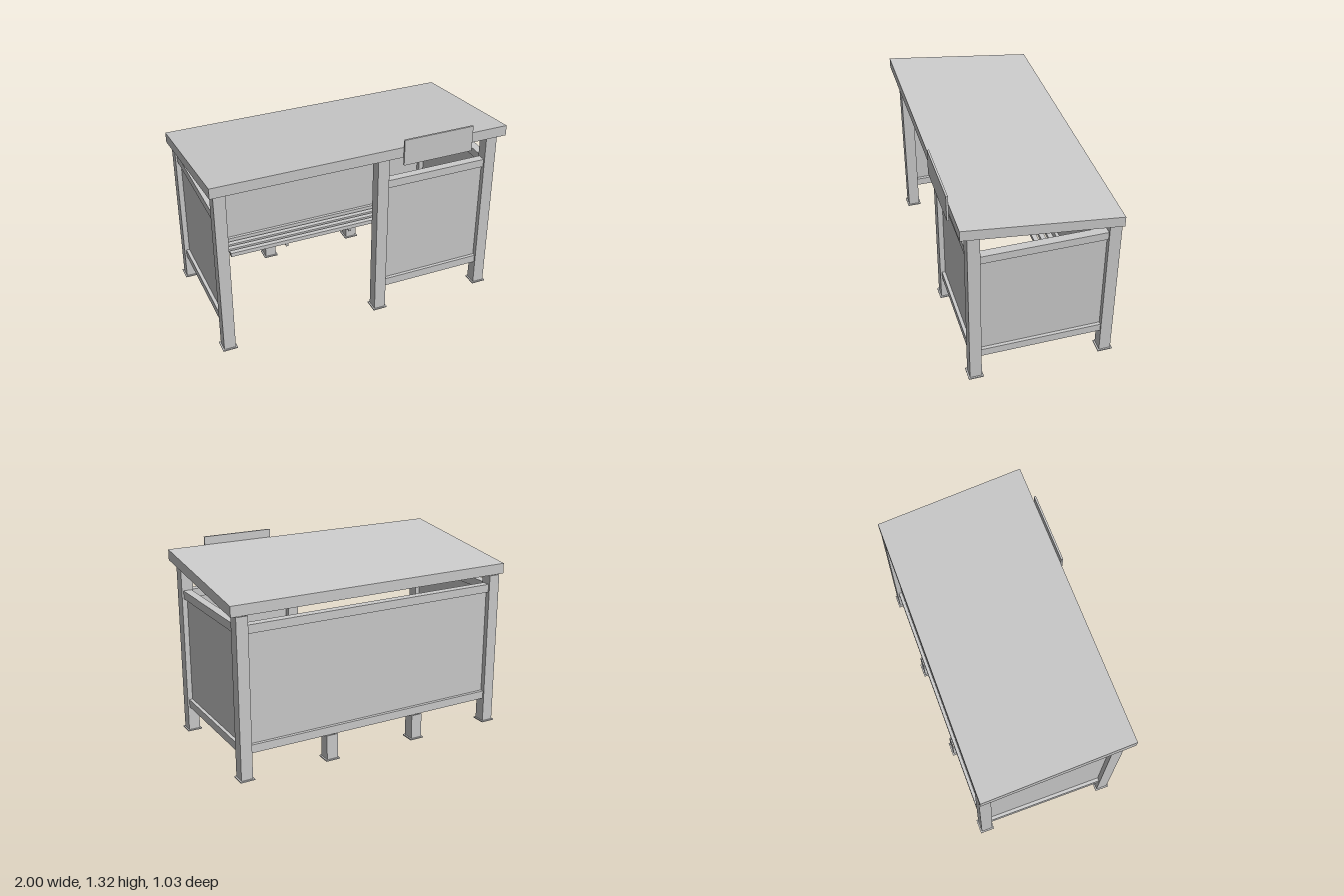
import * as THREE from 'three';

const material = new THREE.MeshStandardMaterial({ color: 0xcccccc, flatShading: true });

function addMesh(parent, name, geometry, x = 0, y = 0, z = 0) {
  const mesh = new THREE.Mesh(geometry, material);
  mesh.name = name;
  mesh.position.set(x, y, z);
  parent.add(mesh);
  return mesh;
}

// Box given by its min and max along each axis
function addBox(parent, name, [x0, x1], [y0, y1], [z0, z1]) {
  return addMesh(parent, name, new THREE.BoxGeometry(x1 - x0, y1 - y0, z1 - z0),
    (x0 + x1) / 2, (y0 + y1) / 2, (z0 + z1) / 2);
}

// Upright square tube, open inside
function squareTube(size, inner, height) {
  const square = (Type, h) => new Type([[-h, -h], [h, -h], [h, h], [-h, h]].map(([x, y]) => new THREE.Vector2(x, y)));
  const shape = square(THREE.Shape, size / 2);
  shape.holes.push(square(THREE.Path, inner / 2));
  return new THREE.ExtrudeGeometry(shape, { depth: height, bevelEnabled: false }).rotateX(-Math.PI / 2);
}

// Hollow post on a flat foot plate
function addPost(parent, name, x, z, height) {
  const post = new THREE.Group();
  post.name = name;
  post.position.set(x, 0, z);
  addMesh(post, 'tube', squareTube(0.078, 0.066, height));
  addMesh(post, 'footPlate', squareTube(0.098, 0.066, 0.008));
  parent.add(post);
}

// Wall along x or z: a thin sheet between two square rails
function addWall(parent, name, length, x, z, alongZ) {
  const wall = new THREE.Group();
  wall.name = name;
  wall.position.set(x, 0, z);
  if (alongZ) wall.rotation.y = Math.PI / 2;
  const span = [-length / 2, length / 2];
  addBox(wall, 'bottomRail', span, [0.175, 0.23], [-0.0275, 0.0275]);
  addBox(wall, 'topRail', span, [0.95, 1.005], [-0.0275, 0.0275]);
  addBox(wall, 'panel', span, [0.23, 0.95], [-0.005, 0.005]);
  parent.add(wall);
}

export function createModel() {
  const model = new THREE.Group();
  model.name = 'shelter';
  const frontZ = 0.415, backZ = -0.463, sideX = 0.928;

  // Posts
  for (const x of [-sideX, 0.15, sideX]) addPost(model, 'frontPost', x, frontZ, 1.182);
  for (const x of [-sideX, sideX]) addPost(model, 'backPost', x, backZ, 1.066);
  for (const x of [-0.325, 0.325]) addPost(model, 'shortBackPost', x, backZ, 0.176);

  // Walls; the front is open on one side
  const sideLength = frontZ - backZ - 0.078;
  for (const x of [-sideX, sideX]) addWall(model, 'sideWall', sideLength, x, (frontZ + backZ) / 2, true);
  addWall(model, 'backWall', 2 * sideX - 0.078, 0, backZ, false);
  addWall(model, 'frontWall', sideX - 0.15 - 0.078, (sideX + 0.15) / 2, frontZ, false);

  // Sloping roof with upright edges
  const roof = new THREE.Shape();
  roof.moveTo(-0.503, 1.192);
  roof.lineTo(0.503, 1.07);
  roof.lineTo(0.503, 1.14);
  roof.lineTo(-0.503, 1.263);
  const roofGeometry = new THREE.ExtrudeGeometry(roof, { depth: 2, bevelEnabled: false });
  roofGeometry.translate(0, 0, -1).rotateY(Math.PI / 2);
  addMesh(model, 'roof', roofGeometry);

  // Blank sign board on the roof edge
  addBox(model, 'signBoard', [0.258, 0.742], [1.14, 1.318], [0.503, 0.516]);

  // Low slatted bench on brackets from the back wall
  const bench = new THREE.Group();
  bench.name = 'bench';
  for (let i = 0; i < 3; i++) {
    const z = -0.292 - i * 0.055;
    addBox(bench, 'slat', [-0.672, 0.672], [0.185, 0.215], [z - 0.018, z + 0.018]);
  }
  for (const x of [-0.248, 0.248]) addBox(bench, 'bracket', [x - 0.009, x + 0.009], [0.165, 0.185], [-0.46, -0.272]);
  model.add(bench);

  return model;
}
